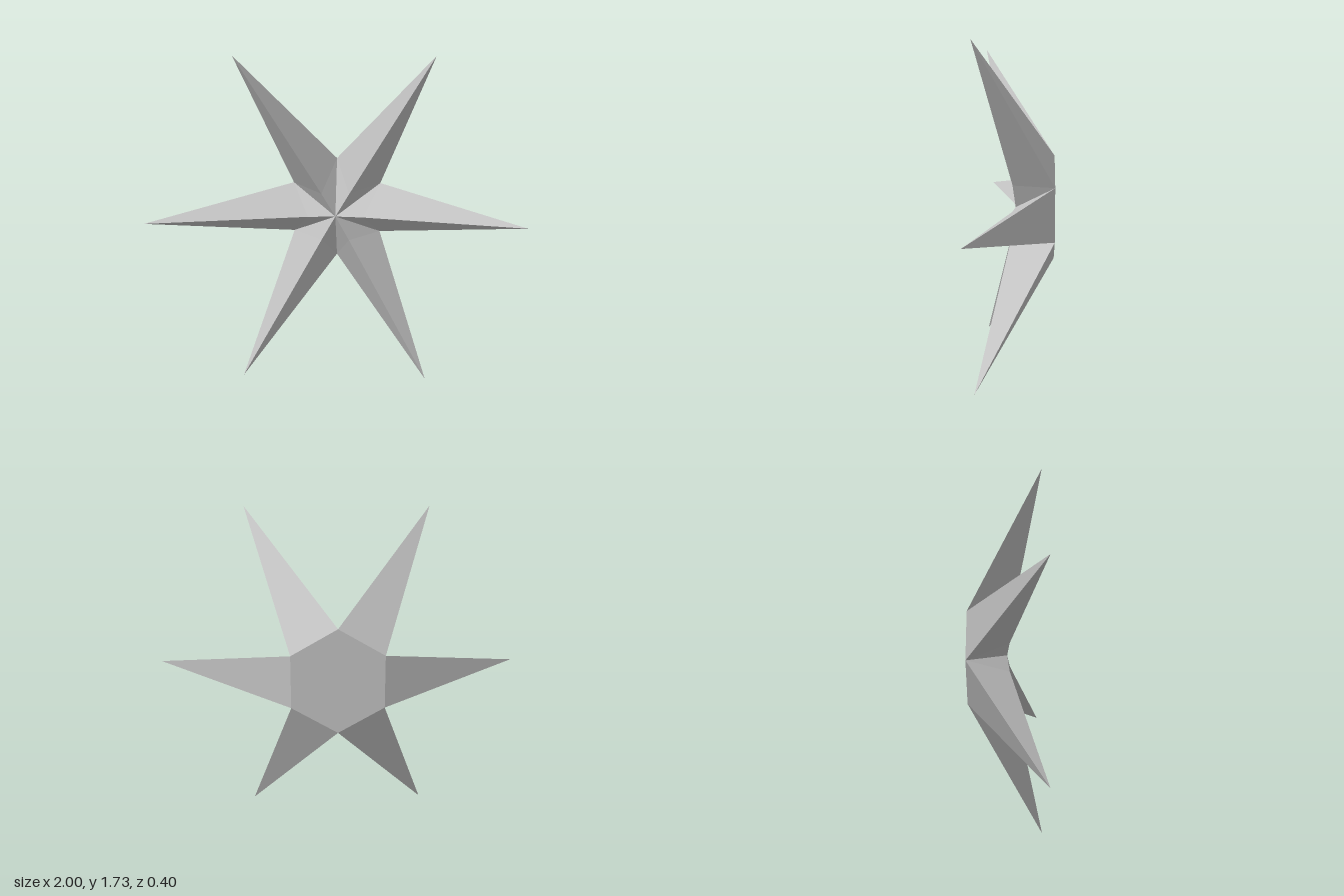
import * as THREE from 'three';

const RADIUS = 1, INNER = 0.284, RIDGE = 0.15, CENTRE_Y = Math.sqrt(3) / 2;
const TIP_Z = 0.2, BACK_Z = -0.2, RIDGE_Z = 0.024, CENTRE_Z = 0.01;

// Flat-faced geometry from triangles of corner points
function facets(triangles) {
  const g = new THREE.BufferGeometry().setFromPoints(triangles.flat());
  g.computeVertexNormals();
  return g;
}

function polar(radius, degrees, z) {
  const a = THREE.MathUtils.degToRad(degrees);
  return new THREE.Vector3(radius * Math.cos(a), radius * Math.sin(a), z);
}

export function createModel() {
  const group = new THREE.Group();
  group.name = 'sixPointedStar';
  const grey = new THREE.MeshStandardMaterial({ color: 0xc0c0c0 });
  grey.name = 'plain grey';
  grey.flatShading = true;

  // Corners of one sixth, pointing along +x
  const centre = new THREE.Vector3(0, 0, CENTRE_Z);
  const back = new THREE.Vector3(0, 0, BACK_Z);
  const ridge = polar(RIDGE, 0, RIDGE_Z);
  const tip = polar(RADIUS, 0, TIP_Z);
  const low = polar(INNER, -30, BACK_Z);
  const high = polar(INNER, 30, BACK_Z);

  // Forward-swept arm: two front faces and a sloping back
  const armGeometry = facets([[ridge, low, tip], [ridge, tip, high], [tip, low, high]]);
  // Core wedge: shallow front folds and a sixth of the flat back
  const coreGeometry = facets([[centre, low, ridge], [centre, ridge, high], [back, high, low]]);

  for (let i = 0; i < 6; i++) {
    for (const [name, geometry] of [['arm', armGeometry], ['coreWedge', coreGeometry]]) {
      const mesh = new THREE.Mesh(geometry, grey);
      mesh.name = name + (i + 1);
      mesh.rotation.z = i * Math.PI / 3;
      mesh.position.y = CENTRE_Y;
      group.add(mesh);
    }
  }
  return group;
}
